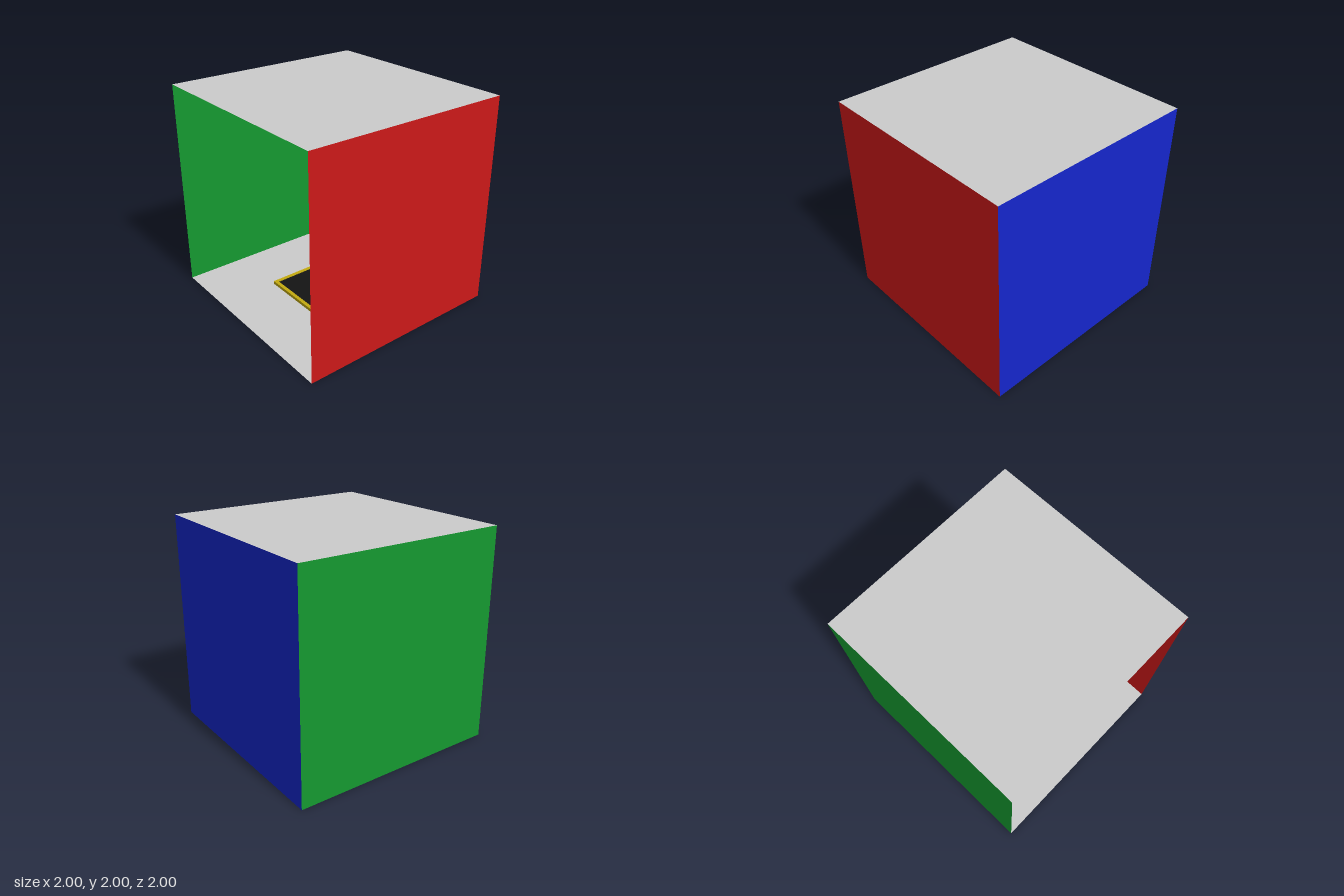
import * as THREE from 'three';

const GREY = 0xcccccc, RED = 0xcc1919, GREEN = 0x159930, BLUE = 0x1526cc, YELLOW = 0xc4aa10, BLACK = 0x141414;

function addPart(parent, name, geometry, color) {
  const material = new THREE.MeshStandardMaterial({ color, side: THREE.DoubleSide });
  const mesh = new THREE.Mesh(geometry, material);
  mesh.name = name;
  parent.add(mesh);
  return mesh;
}

// Square outline centred on the origin, optionally with a square hole.
function square(half, holeHalf, holeY = 0) {
  const trace = (path, h, y) => path
    .moveTo(-h, y - h).lineTo(h, y - h).lineTo(h, y + h).lineTo(-h, y + h).closePath();
  const shape = trace(new THREE.Shape(), half, 0);
  if (holeHalf) shape.holes.push(trace(new THREE.Path(), holeHalf, holeY));
  return shape;
}

export function createModel() {
  const room = new THREE.Group();
  room.name = 'openRoom';

  const padHalf = 0.395, padZ = 0.025, rim = 0.035, padHeight = 0.03, panelHeight = 0.024;

  // Thin walls, open at the front
  const wall = new THREE.PlaneGeometry(2, 2);
  addPart(room, 'backWall', wall, BLUE).position.set(0, 1, -1);
  for (const [name, side, color] of [['leftWall', 1, RED], ['rightWall', -1, GREEN]]) {
    const mesh = addPart(room, name, wall, color);
    mesh.position.set(side, 1, 0);
    mesh.rotation.y = side * Math.PI / 2;
  }
  const ceiling = addPart(room, 'ceiling', wall, GREY);
  ceiling.position.y = 2;
  ceiling.rotation.x = -Math.PI / 2;

  // Floor, cut out where the pad sits
  const floor = new THREE.ShapeGeometry(square(1, padHalf, -padZ));
  addPart(room, 'floor', floor.rotateX(-Math.PI / 2), GREY);

  // Floor pad: raised rim, base plate and dark inset panel
  const pad = new THREE.Group();
  pad.name = 'floorPad';
  pad.position.z = padZ;
  room.add(pad);

  const inner = padHalf - rim;
  const frame = new THREE.ExtrudeGeometry(square(padHalf, inner), { depth: padHeight, bevelEnabled: false });
  addPart(pad, 'padRim', frame.rotateX(-Math.PI / 2), YELLOW);

  const plate = new THREE.PlaneGeometry(inner * 2, inner * 2).rotateX(-Math.PI / 2);
  addPart(pad, 'padBase', plate, YELLOW);
  addPart(pad, 'padPanel', plate, BLACK).position.y = panelHeight;

  return room;
}
